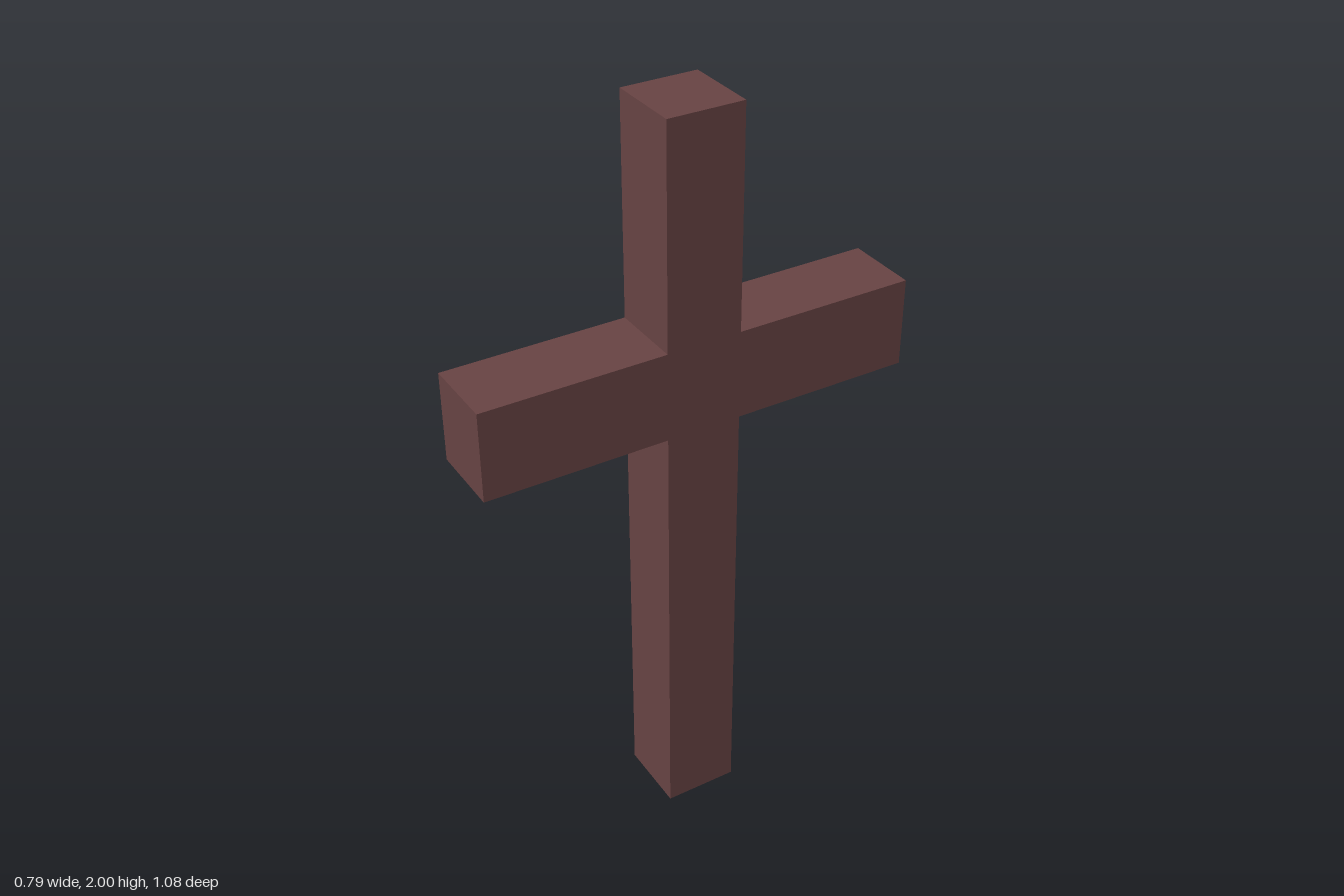
import * as THREE from 'three';

export function createModel() {
  const group = new THREE.Group();
  const half = 0.099;        // half thickness of the square timber
  const reach = 0.578;       // half length of the crossbar
  const low = 1.195, high = 1.43, top = 2;

  // Cross outline: right half, then its mirror image
  const right = [[half, 0], [half, low], [reach, low], [reach, high], [half, high], [half, top]];
  const left = right.map(([x, y]) => [-x, y]).reverse();
  const outline = new THREE.Shape([...right, ...left].map(([x, y]) => new THREE.Vector2(x, y)));

  // Post and flush crossbar as one solid
  const geometry = new THREE.ExtrudeGeometry(outline, { depth: 2 * half, bevelEnabled: false });
  geometry.translate(0, 0, -half);
  const wood = new THREE.MeshStandardMaterial({ color: 0x664242 });
  const cross = new THREE.Mesh(geometry, wood);
  cross.name = 'woodenCross';
  cross.rotation.y = 1.005;  // turned about the upright
  group.add(cross);
  return group;
}
